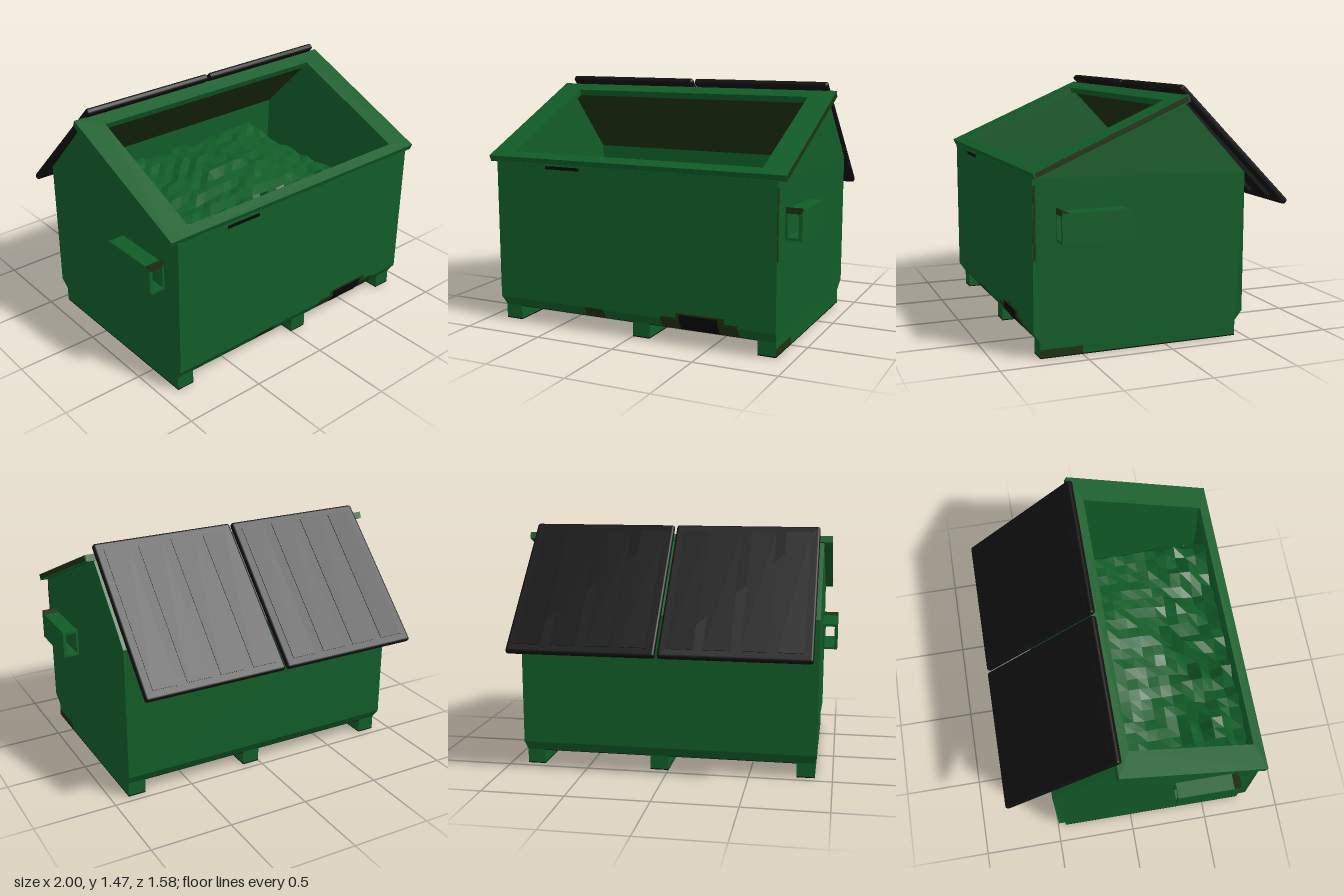
import * as THREE from 'three';
import { RoundedBoxGeometry } from 'three/addons/geometries/RoundedBoxGeometry.js';

const paint = (name, color, extra = {}) => {
  const m = new THREE.MeshStandardMaterial({ color, ...extra });
  m.name = name;
  return m;
};

export function createModel() {
  const green = paint('green paint', 0x115c28);
  const refuseGreen = paint('refuse green', 0x115c28, { flatShading: true, side: THREE.DoubleSide });
  const olive = paint('dark olive grime', 0x1f3010);
  const black = paint('black plastic', 0x101010);
  const soot = paint('black grime', 0x060606);

  const model = new THREE.Group();
  const add = (name, geometry, material, parent = model) => {
    const mesh = new THREE.Mesh(geometry, material);
    mesh.name = name;
    parent.add(mesh);
    return mesh;
  };
  // Solid with a [z, y] outline, running from x0 to x1
  const prism = (points, x0, x1) => {
    const shape = new THREE.Shape(points.map(([z, y]) => new THREE.Vector2(z, y)));
    return new THREE.ExtrudeGeometry(shape, { depth: x1 - x0, bevelEnabled: false })
      .rotateY(-Math.PI / 2).translate(x1, 0, 0);
  };
  const box = (x0, x1, y0, y1, z0, z1) => new THREE.BoxGeometry(x1 - x0, y1 - y0, z1 - z0)
    .translate((x0 + x1) / 2, (y0 + y1) / 2, (z0 + z1) / 2);

  // Side walls, drawn in slightly below the base crease
  const outline = [[0.785, 1.0], [-0.1, 1.38], [-0.49, 0.97], [-0.49, 0.15],
    [-0.45, 0.09], [0.745, 0.09], [0.785, 0.15]];
  for (const s of [-1, 1]) {
    const wall = prism(outline, s > 0 ? 0.885 : -0.905, s > 0 ? 0.905 : -0.885);
    const p = wall.attributes.position;
    for (let i = 0; i < p.count; i++) if (p.getY(i) < 0.1) p.setX(i, p.getX(i) - s * 0.01);
    wall.computeVertexNormals();
    add('sideWall', wall, green);
  }

  // Front, floor, back and rear slope as one folded sheet
  add('folded shell', prism([
    [0.785, 1.0], [0.785, 0.15], [0.745, 0.09], [-0.45, 0.09], [-0.49, 0.15], [-0.49, 0.97], [-0.1, 1.38],
    [-0.1, 1.35], [-0.47, 0.962], [-0.47, 0.157], [-0.44, 0.11], [0.735, 0.11], [0.765, 0.157], [0.765, 1.0],
  ], -0.885, 0.885), green);
  add('rear slope lining', prism([[-0.1, 1.348], [-0.1, 1.341], [-0.465, 0.957], [-0.465, 0.964]], -0.884, 0.884), olive);
  add('underside', box(-0.89, 0.89, 0.086, 0.0895, -0.448, 0.743), soot);

  // Sloping rim around the loading opening
  const rect = (P, x, y0, y1) => {
    const r = new P();
    r.moveTo(-x, y0);
    r.lineTo(x, y0);
    r.lineTo(x, y1);
    r.lineTo(-x, y1);
    r.closePath();
    return r;
  };
  const rimShape = rect(THREE.Shape, 0.955, 0, 0.98);
  rimShape.holes.push(rect(THREE.Path, 0.8, 0.065, 0.89));
  const rim = new THREE.Group();
  rim.name = 'openingRim';
  rim.position.set(0, 0.995, 0.78);
  rim.rotation.x = -1.16;
  model.add(rim);
  add('rimFrame', new THREE.ExtrudeGeometry(rimShape, { depth: 0.04, bevelEnabled: false }), green, rim);
  add('rimEdgeGrime', box(0.954, 0.957, 0.01, 0.97, 0.008, 0.036), olive, rim);

  // Two lids resting on the rear slope
  for (const [x0, x1] of [[-0.88, 0.005], [0.02, 0.905]]) {
    const lid = new THREE.Group();
    lid.name = 'lid';
    lid.position.set((x0 + x1) / 2, 1.1375, -0.445);
    lid.rotation.x = -Math.PI / 4;
    model.add(lid);
    add('lidPanel', new RoundedBoxGeometry(x1 - x0, 0.04, 0.98, 2, 0.015).translate(0, -0.024, 0), black, lid);
    for (let i = 0; i < 4; i++) {
      const x = (i - 1.5) * 0.21;
      add('lidRaisedPanel', box(x - 0.075, x + 0.075, -0.01, 0, -0.44, 0.44), black, lid);
      add('lidUnderRib', box(x - 0.07, x + 0.07, -0.066, -0.04, -0.4, 0.44), black, lid);
    }
  }

  // Lifting pockets, open at both ends
  for (const s of [-1, 1]) {
    const pocket = new THREE.Group();
    pocket.name = 'liftingPocket';
    model.add(pocket);
    const plate = (name, a, b, y0, y1, z0, z1, m) =>
      add(name, box(Math.min(s * a, s * b), Math.max(s * a, s * b), y0, y1, z0, z1), m, pocket);
    plate('pocketOuter', 0.98, 1.0, 0.65, 0.815, 0.26, 0.65, green);
    plate('pocketTop', 0.9, 0.998, 0.8, 0.818, 0.262, 0.648, green);
    plate('pocketBottom', 0.9, 0.98, 0.65, 0.665, 0.26, 0.65, green);
    plate('pocketInner', 0.9, 0.915, 0.65, 0.815, 0.26, 0.65, green);
    const lip = add('pocketLip', prism([[0.652, 0.8], [0.652, 0.835], [0.61, 0.818], [0.61, 0.8]], -0.047, 0.047), olive, pocket);
    lip.position.x = s * 0.952;
  }

  // Skids
  for (const x of [-0.84, 0.055, 0.84]) {
    add('skid', box(x - 0.055, x + 0.055, 0.006, 0.1, -0.45, 0.745), green);
    add('skidSole', box(x - 0.055, x + 0.055, 0, 0.006, -0.45, 0.745), soot);
  }

  // Heap of refuse: a crumpled sheet that falls away at its ends
  const heap = new THREE.PlaneGeometry(1.76, 1.22, 26, 18).rotateX(-Math.PI / 2).translate(0, 0, 0.148);
  const hash = (a, b) => {
    const v = Math.sin(a * 127.1 + b * 311.7) * 43758.5453;
    return v - Math.floor(v);
  };
  const hp = heap.attributes.position;
  for (let i = 0; i < hp.count; i++) {
    const x = hp.getX(i), z = hp.getZ(i);
    const rough = z > 0.38 ? 0.13 : 0.03;
    const fall = THREE.MathUtils.smoothstep(Math.abs(x), 0.68, 0.86) * 0.45;
    hp.setY(i, 0.83 + 0.04 * Math.sin(x * 5 + 1) * Math.cos(z * 4) - 0.1 * Math.max(0, z)
      + rough * (hash(Math.round(x * 50), Math.round(z * 50)) - 0.5) - fall);
  }
  heap.computeVertexNormals();
  add('refuseHeap', heap, refuseGreen);

  // Grime patches folded over the front base crease
  const basePatch = (x0, x1, top, t, material) => add('baseGrime', prism([
    [0.785 + t, top], [0.784, top], [0.784, 0.15], [0.744, 0.09], [0.745 + t, 0.09], [0.785 + t, 0.15],
  ], x0, x1), material);
  basePatch(0.2, 0.68, 0.165, 0.002, olive);
  basePatch(0.3, 0.6, 0.195, 0.003, olive);
  basePatch(0.32, 0.56, 0.185, 0.005, soot);
  basePatch(-0.31, -0.18, 0.152, 0.002, olive);
  add('frontLipGrime', box(-0.56, -0.33, 0.97, 0.988, 0.784, 0.789), soot);
  add('skidGrime', box(0.894, 0.897, 0.008, 0.05, 0.5, 0.744), olive);
  add('edgeGrime', box(0.904, 0.907, 0.55, 0.96, 0.768, 0.784), olive);

  return model;
}
